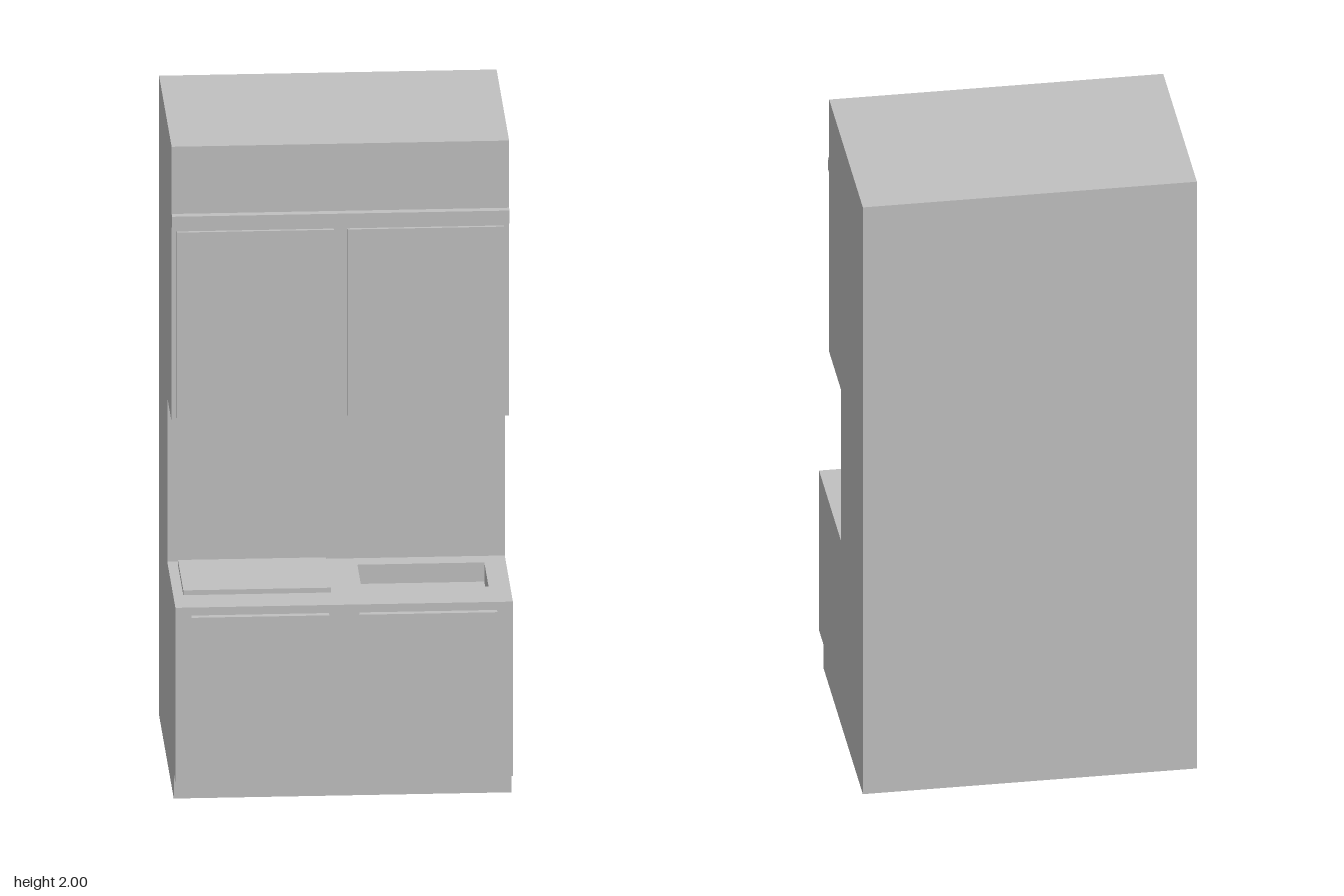
import * as THREE from 'three';

export function createModel() {
  const model = new THREE.Group();
  model.name = 'kitchenUnit';
  const grey = new THREE.MeshStandardMaterial({ color: 0xc0c0c0 });
  grey.name = 'light grey';

  const add = (name, geometry) => {
    const mesh = new THREE.Mesh(geometry, grey);
    mesh.name = name;
    model.add(mesh);
  };

  // Box given by its limits on each axis
  const box = (name, [x0, x1], [y0, y1], [z0, z1]) => {
    const g = new THREE.BoxGeometry(x1 - x0, y1 - y0, z1 - z0);
    g.translate((x0 + x1) / 2, (y0 + y1) / 2, (z0 + z1) / 2);
    add(name, g);
  };

  const back = -0.433, wall = -0.01, upperFront = 0.217, lowerFront = 0.412;
  const counterY = 0.625, sinkFloorY = 0.565;

  // Carcass: side profile (z, y) with toe kick and splashback, swept across the width
  const profile = new THREE.Shape([
    [back, 0], [0.328, 0], [0.328, 0.08], [lowerFront, 0.08], [lowerFront, sinkFloorY],
    [wall, sinkFloorY], [wall, 1.14], [upperFront, 1.14], [upperFront, 2], [back, 2],
  ].map(([z, y]) => new THREE.Vector2(z, y)));
  const carcass = new THREE.ExtrudeGeometry(profile, { depth: 1, bevelEnabled: false });
  carcass.rotateY(-Math.PI / 2).translate(0.5, 0, 0);
  add('carcass', carcass);

  // Worktop slab with the sink cut through it
  const rect = (Type, x0, x1, z0, z1) => new Type([
    new THREE.Vector2(x0, -z1), new THREE.Vector2(x1, -z1),
    new THREE.Vector2(x1, -z0), new THREE.Vector2(x0, -z0),
  ]);
  const top = rect(THREE.Shape, -0.5, 0.5, wall, lowerFront);
  top.holes.push(rect(THREE.Path, 0.06, 0.436, 0.05, 0.27));
  const worktop = new THREE.ExtrudeGeometry(top, { depth: counterY - sinkFloorY, bevelEnabled: false });
  worktop.rotateX(-Math.PI / 2).translate(0, sinkFloorY, 0);
  add('worktop', worktop);

  // Hob plate
  box('hob', [-0.47, -0.032], [counterY, 0.64], [0.02, 0.298]);

  // Paired doors
  for (const [side, s] of [['right', -1], ['left', 1]]) {
    const span = (a, b) => (s > 0 ? [a, b] : [-b, -a]);
    box(side + 'LowerDoor', span(0.045, 0.453), [0.102, 0.6], [lowerFront, 0.433]);
    box(side + 'UpperDoor', span(0.02, 0.485), [1.152, 1.735], [upperFront, 0.228]);
  }

  // Trim rail above the upper doors
  box('trimRail', [-0.5, 0.5], [1.75, 1.79], [upperFront, 0.243]);

  return model;
}
